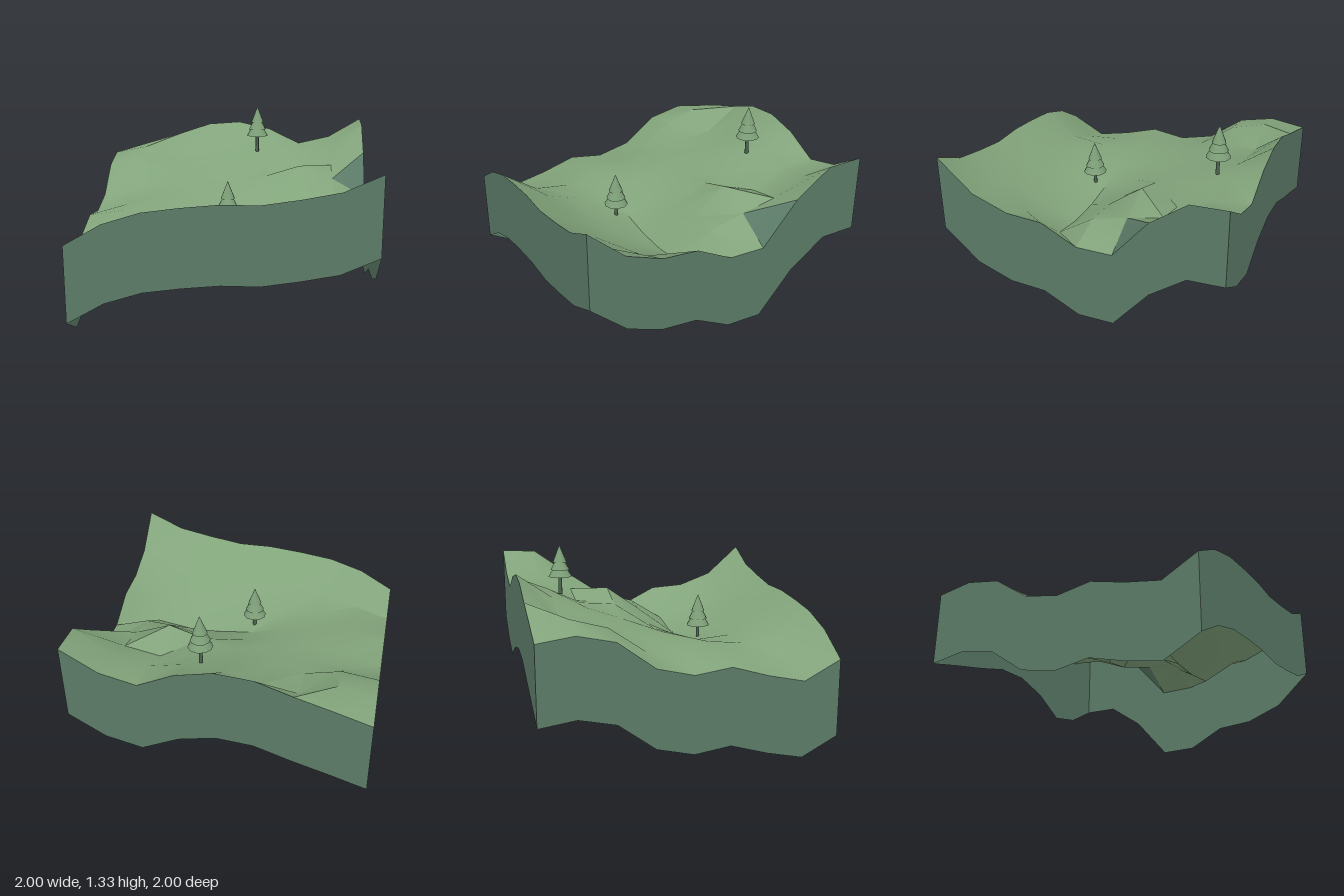
import * as THREE from 'three';
import { toCreasedNormals } from 'three/addons/utils/BufferGeometryUtils.js';

const N = 8, STEP = 0.25, THICKNESS = 0.53;

// Ground heights, one row per z from back (-1) to front (1), x from -1 to 1
const HEIGHTS = [
  [0.895, 0.975, 1.05, 1.135, 1.155, 1.10, 0.98, 1.04, 1.19],
  [0.93, 0.98, 0.88, 0.92, 0.98, 1.00, 0.95, 1.01, 1.18],
  [0.875, 0.91, 0.855, 0.87, 0.89, 0.88, 0.85, 0.90, 1.00],
  [0.69, 0.735, 0.78, 0.79, 0.80, 0.86, 0.94, 0.845, 0.705],
  [0.63, 0.69, 0.74, 0.74, 0.71, 0.70, 0.76, 0.78, 0.705],
  [0.665, 0.70, 0.715, 0.67, 0.61, 0.58, 0.58, 0.62, 0.83],
  [0.59, 0.64, 0.69, 0.69, 0.67, 0.66, 0.67, 0.73, 0.845],
  [0.535, 0.62, 0.72, 0.77, 0.79, 0.80, 0.82, 0.86, 0.935],
  [0.665, 0.81, 0.89, 0.925, 0.95, 0.95, 0.99, 1.04, 1.155],
];

const point = (i, j) => new THREE.Vector3(-1 + i * STEP, HEIGHTS[j][i], -1 + j * STEP);

function geometryFrom(triangles) {
  return new THREE.BufferGeometry().setFromPoints(triangles.flat());
}

// Height field; the steepest faces are bare rock
function makeGround(grass, rock) {
  const grassFaces = [], rockFaces = [], normal = new THREE.Vector3();
  for (let j = 0; j < N; j++) {
    for (let i = 0; i < N; i++) {
      const a = point(i, j), b = point(i, j + 1), c = point(i + 1, j + 1), d = point(i + 1, j);
      for (const face of [[a, b, d], [b, c, d]]) {
        new THREE.Triangle(...face).getNormal(normal);
        const slope = Math.hypot(normal.x, normal.z) / normal.y;
        (slope > 1.2 ? rockFaces : grassFaces).push(face);
      }
    }
  }
  const geometry = toCreasedNormals(geometryFrom([...grassFaces, ...rockFaces]), 0.52);
  geometry.clearGroups();
  geometry.addGroup(0, grassFaces.length * 3, 0);
  geometry.addGroup(grassFaces.length * 3, rockFaces.length * 3, 1);
  const ground = new THREE.Mesh(geometry, [grass, rock]);
  ground.name = 'ground';
  return ground;
}

// Vertical wall hanging from one edge of the ground
function makeWall(name, edge, rock) {
  const faces = [];
  const drop = (p) => new THREE.Vector3(p.x, p.y - THICKNESS, p.z);
  for (let k = 0; k < N; k++) {
    const p = edge(k), q = edge(k + 1);
    faces.push([p, drop(p), q], [q, drop(p), drop(q)]);
  }
  const geometry = geometryFrom(faces);
  geometry.computeVertexNormals();
  const wall = new THREE.Mesh(geometry, rock);
  wall.name = name;
  return wall;
}

// Conifer: thin trunk and three stacked cones
function makeTree(x, y, z, leaves, bark) {
  const tree = new THREE.Group();
  tree.name = 'tree';
  const trunk = new THREE.Mesh(new THREE.CylinderGeometry(0.012, 0.014, 0.16, 8), bark);
  trunk.position.y = 0.08;
  trunk.name = 'trunk';
  tree.add(trunk);
  const tiers = [[0.085, 0.13, 0.14], [0.068, 0.18, 0.13], [0.05, 0.235, 0.125]];
  for (const [radius, base, height] of tiers) {
    const tier = new THREE.Mesh(new THREE.ConeGeometry(radius, height, 10), leaves);
    tier.position.y = base + height / 2;
    tier.name = 'foliageTier';
    tree.add(tier);
  }
  tree.position.set(x, y, z);
  return tree;
}

export function createModel() {
  const material = (name, color, side = THREE.FrontSide) => {
    const m = new THREE.MeshStandardMaterial({ color, side });
    m.name = name;
    return m;
  };
  const grass = material('grass green', 0x82a47b, THREE.DoubleSide);
  const rock = material('rock green', 0x5c7b68, THREE.DoubleSide);
  const leaves = material('leaf green', 0x7d9f78);
  const bark = material('bark green', 0x4c6650);

  const model = new THREE.Group();
  model.name = 'terrainTile';
  model.add(
    makeGround(grass, rock),
    makeWall('frontWall', (k) => point(k, N), rock),
    makeWall('leftWall', (k) => point(N, N - k), rock),
    makeWall('backWall', (k) => point(N - k, 0), rock),
    makeWall('rightWall', (k) => point(0, k), rock),
    makeTree(0.165, 0.97, -0.665, leaves, bark),
    makeTree(0, 0.59, 0.335, leaves, bark),
  );
  return model;
}
